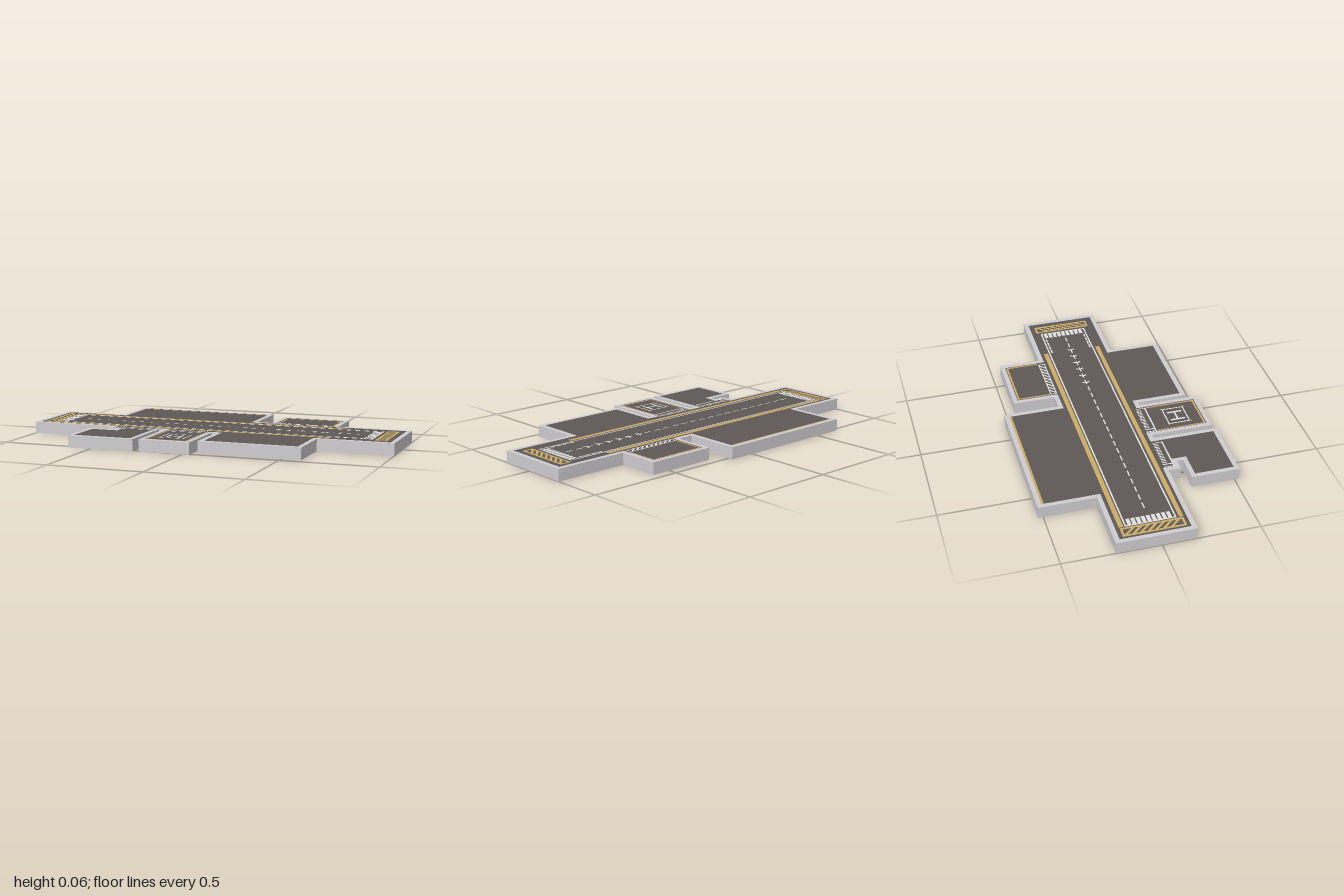
import * as THREE from 'three';
import { mergeGeometries } from 'three/addons/utils/BufferGeometryUtils.js';

const TOP = 0.063, DECK = 0.06, MARK = 0.062, UNDER = 0.057, RIM = 0.024;

// Outer edge of the platform as [x, z], clockwise seen from above
const outline = [
  [-1, -0.229], [-0.652, -0.229], [-0.652, -0.526], [0.142, -0.526], [0.142, -0.229], [0.23, -0.229],
  [0.23, -0.452], [0.602, -0.452], [0.602, -0.229], [1, -0.229], [1, 0.19], [0.602, 0.19],
  [0.602, 0.462], [0.062, 0.462], [0.062, 0.195], [0.037, 0.195], [0.037, 0.515], [-0.235, 0.515],
  [-0.235, 0.182], [-0.266, 0.182], [-0.266, 0.525], [-0.625, 0.525], [-0.625, 0.272],
  [-0.48, 0.272], [-0.48, 0.24], [-0.54, 0.24], [-0.54, 0.176], [-1, 0.176],
];

// Moves a right-angled outline inwards
function inset(pts, w) {
  const n = pts.length;
  const normal = (a, b) => {
    const l = Math.hypot(b[0] - a[0], b[1] - a[1]);
    return [-(b[1] - a[1]) / l, (b[0] - a[0]) / l];
  };
  return pts.map((p, i) => {
    const a = normal(pts[(i + n - 1) % n], p), b = normal(p, pts[(i + 1) % n]);
    return [p[0] + (a[0] + b[0]) * w, p[1] + (a[1] + b[1]) * w];
  });
}

const toVec = (pts) => pts.map(([x, z]) => new THREE.Vector2(x, -z));

// Flat upward-facing polygon at height y
function flat(pts, y, hole) {
  const shape = new THREE.Shape(toVec(pts));
  if (hole) shape.holes.push(new THREE.Path(toVec(hole)));
  return new THREE.ShapeGeometry(shape).rotateX(-Math.PI / 2).translate(0, y, 0);
}

const rect = (x0, z0, x1, z1, y = MARK) => flat([[x0, z0], [x1, z0], [x1, z1], [x0, z1]], y);

function frame(x0, z0, x1, z1, t) {
  return [rect(x0, z0, x1, z0 + t), rect(x0, z1 - t, x1, z1),
    rect(x0, z0 + t, x0 + t, z1 - t), rect(x1 - t, z0 + t, x1, z1 - t)];
}

// Upright skirt around the platform, open underneath
function skirt(pts) {
  const pos = [];
  pts.forEach(([x, z], i) => {
    const [u, v] = pts[(i + 1) % pts.length];
    pos.push(x, 0, z, x, TOP, z, u, TOP, v, x, 0, z, u, TOP, v, u, 0, v);
  });
  const g = new THREE.BufferGeometry();
  g.setAttribute('position', new THREE.Float32BufferAttribute(pos, 3));
  g.computeVertexNormals();
  return g;
}

export function createModel() {
  const model = new THREE.Group();
  model.name = 'airfield';
  const material = (name, color) => {
    const m = new THREE.MeshStandardMaterial({ color, side: THREE.DoubleSide });
    m.name = name;
    return m;
  };
  const asphalt = material('asphalt', 0x5e5956);
  const concrete = material('concrete', 0xd0cdd0);
  const yellow = material('yellowPaint', 0xcbab66);
  const white = material('whitePaint', 0xe2e1e1);
  const add = (name, geometries, mat) => {
    const mesh = new THREE.Mesh(mergeGeometries([geometries].flat()), mat);
    mesh.name = name;
    model.add(mesh);
  };

  // Platform: asphalt deck, concrete rim, walls and underside
  add('deck', flat(outline, DECK), asphalt);
  add('rim', flat(outline, TOP, inset(outline, RIM)), concrete);
  add('skirt', skirt(outline), concrete);
  add('underside', flat(outline, UNDER), concrete);

  // Seam and stripe showing on the underside
  add('undersideSeam', flat(inset(outline, RIM), UNDER - 0.002, inset(outline, RIM + 0.006)), asphalt);
  add('undersideStripe', rect(-0.895, 0.118, 0.66, 0.13, UNDER - 0.002), yellow);

  // Runway side stripes
  add('runwayStripes', [rect(-0.895, -0.187, 0.66, -0.163), rect(-0.895, 0.115, 0.66, 0.138)], yellow);

  // Hatched boxes at both runway ends
  for (const [name, x0, x1, z0, z1, slope] of [
    ['leftEndHatch', 0.885, 0.947, -0.178, 0.132, -0.045],
    ['rightEndHatch', -0.963, -0.9, -0.185, 0.135, 0.045],
  ]) {
    const parts = frame(x0, z0, x1, z1, 0.012);
    const a = x0 + 0.012, b = x1 - 0.012;
    for (let i = 0; i < 7; i++) {
      const z = z0 + 0.01 + i * 0.038 + (slope < 0 ? 0.045 : 0);
      parts.push(flat([[a, z], [b, z + slope], [b, z + slope + 0.019], [a, z + 0.019]], MARK));
    }
    add(name, parts, yellow);
  }

  // White runway border, threshold bars and touchdown dashes
  add('runwayBorder', frame(-0.895, -0.157, 0.87, 0.104, 0.008), white);
  const bars = [];
  for (let i = 0; i < 9; i++) {
    const z = -0.14 + i * 0.0255;
    bars.push(rect(-0.887, z, -0.842, z + 0.019), rect(0.82, z, 0.862, z + 0.019));
  }
  add('thresholdBars', bars, white);
  const dashes = [];
  for (let i = 0; i < 4; i++) {
    const x = 0.66 + i * 0.039;
    dashes.push(rect(x, -0.142, x + 0.032, -0.133), rect(x, 0.082, x + 0.032, 0.091));
  }
  add('touchdownDashes', dashes, white);

  // Centre line and direction arrows
  const line = [];
  for (let i = 0; i < 25; i++) {
    const x = -0.787 + i * 0.0643;
    line.push(rect(x, -0.03, x + 0.042, -0.023));
  }
  add('centreLine', line, white);
  const arrows = [];
  for (let i = 0; i < 6; i++) {
    const x = 0.315 + i * 0.068;
    for (const s of [-1, 1]) {
      arrows.push(flat([[x, -0.026], [x + 0.01, -0.026], [x + 0.02, -0.026 + s * 0.02], [x + 0.01, -0.026 + s * 0.02]], MARK));
    }
  }
  add('arrows', arrows, white);

  // Landing pad with cross-barred marking
  add('padMarking', [
    ...frame(-0.168, 0.296, -0.032, 0.416, 0.007),
    rect(-0.14, 0.318, -0.128, 0.398), rect(-0.075, 0.318, -0.063, 0.398), rect(-0.128, 0.352, -0.075, 0.362),
  ], white);
  const padYellow = [rect(0, 0.215, 0.009, 0.487), rect(-0.207, 0.477, 0, 0.487), rect(-0.207, 0.225, -0.2, 0.477)];
  for (const x of [-0.173, -0.037]) for (const z of [0.29, 0.412]) {
    padYellow.push(rect(x, z, x + 0.01, z + 0.01, MARK + 0.0005));
  }
  add('padOutline', padYellow, yellow);

  // Comb-shaped crossings where the front pads join the runway
  for (const [name, x0, x1] of [['outerCrossing', -0.513, -0.303], ['padCrossing', -0.207, 0.007]]) {
    const parts = [rect(x0, 0.21, x1, 0.218), rect(x0, 0.162, x0 + 0.006, 0.21), rect(x0 + 0.02, 0.162, x0 + 0.028, 0.21),
      rect(x1 - 0.005, 0.162, x1, 0.21)];
    for (let x = x0 + 0.036; x < x1 - 0.012; x += 0.013) parts.push(rect(x, 0.162, x + 0.007, 0.188));
    add(name, parts, white);
  }

  // Small rear pad
  add('rearPadOutline', [rect(0.26, -0.424, 0.575, -0.414), rect(0.26, -0.414, 0.269, -0.245),
    rect(0.566, -0.414, 0.575, -0.245)], yellow);
  const hatch = frame(0.262, -0.243, 0.563, -0.205, 0.006);
  for (let i = 0; i < 9; i++) {
    const x = 0.27 + i * 0.0305;
    hatch.push(flat([[x, -0.211], [x + 0.013, -0.211], [x + 0.04, -0.237], [x + 0.027, -0.237]], MARK));
  }
  add('rearPadHatch', hatch, white);

  // Large rear apron edge line
  add('apronLine', rect(-0.628, -0.502, 0.118, -0.49), yellow);

  return model;
}
